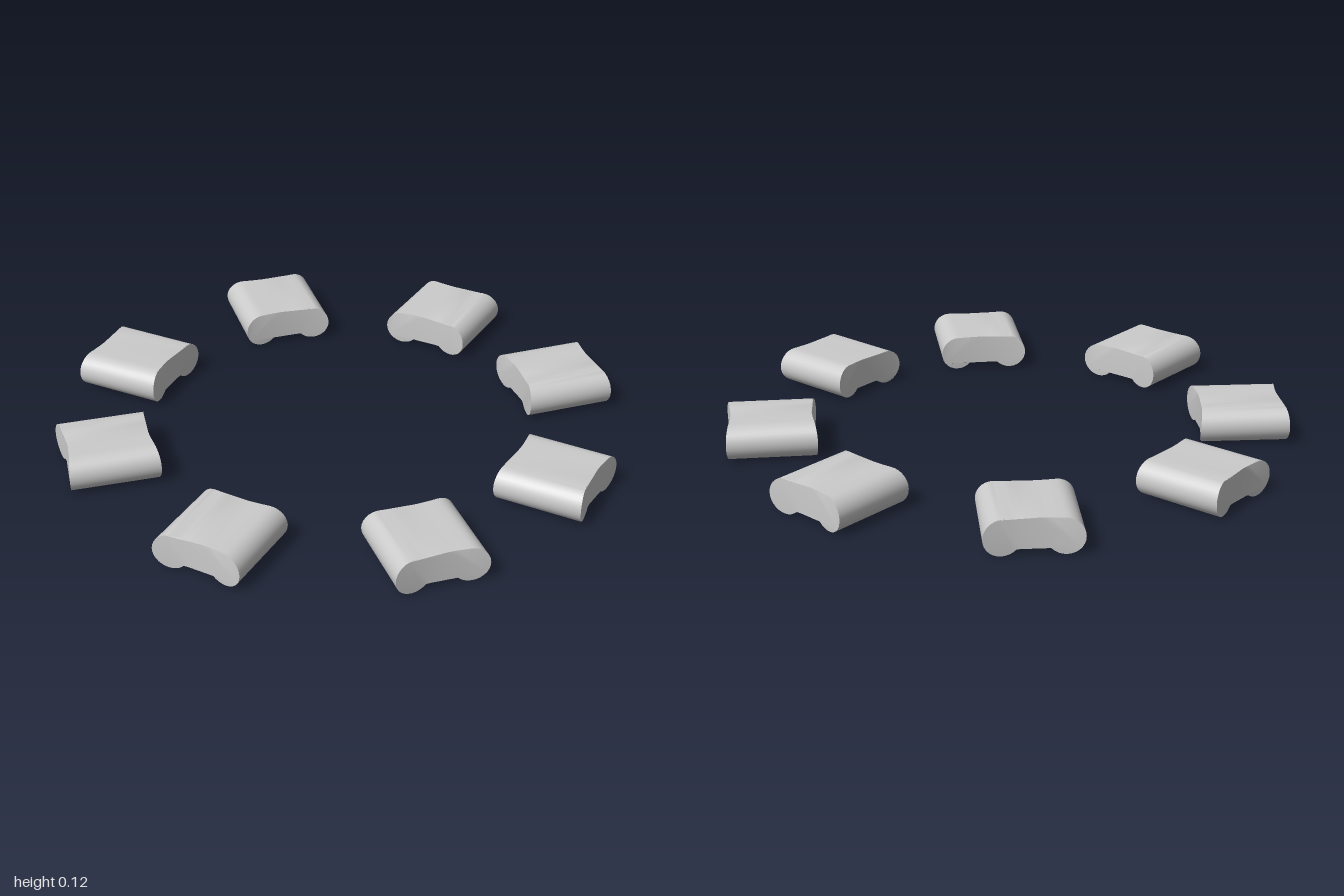
import * as THREE from 'three';
import { toCreasedNormals } from 'three/addons/utils/BufferGeometryUtils.js';

const HALF_WIDTH = 0.162, RADIUS = 0.0625, LENGTH = 0.315, SAG = 0.017;
const RING_RADIUS = 0.83;
// heading of each block around the ring, in degrees from +z
const HEADINGS = [13.3, 60.3, 102.7, 149.4, 191.7, 237.7, 284.2, 326.5];

// cross-section: flat top, rounded sides, two rounded feet and a raised web
function blockProfile() {
  const right = [];
  const cx = HALF_WIDTH - RADIUS;
  for (const x of [0.018, 0.036, 0.054, 0.076]) right.push([x, 2 * RADIUS]);
  const steps = 18, sweep = 227;
  for (let i = 0; i <= steps; i++) {
    const a = THREE.MathUtils.degToRad(90 - (sweep * i) / steps);
    right.push([cx + RADIUS * Math.cos(a), RADIUS + RADIUS * Math.sin(a)]);
  }
  const webY = right[right.length - 1][1];
  for (const x of [0.036, 0.018]) right.push([x, webY]);
  const left = right.map(([x, y]) => [-x, y]).reverse();
  const outline = [[0, 2 * RADIUS], ...right, [0, webY], ...left];
  return new THREE.Shape(outline.map(([x, y]) => new THREE.Vector2(x, y)));
}

// extruded block whose inner and outer ends are hollowed across the width
function blockGeometry() {
  const geo = new THREE.ExtrudeGeometry(blockProfile(), { depth: LENGTH, bevelEnabled: false });
  geo.translate(0, 0, -LENGTH / 2);
  const p = geo.attributes.position;
  for (let i = 0; i < p.count; i++) {
    const t = p.getX(i) / HALF_WIDTH, z = p.getZ(i);
    p.setZ(i, z - Math.sign(z) * SAG * (1 - t * t));
  }
  return toCreasedNormals(geo, 0.5);
}

export function createModel() {
  const group = new THREE.Group();
  group.name = 'blockRing';
  const material = new THREE.MeshStandardMaterial({ color: 0xcccccc });
  const geometry = blockGeometry();
  HEADINGS.forEach((deg, i) => {
    const a = THREE.MathUtils.degToRad(deg);
    const block = new THREE.Mesh(geometry, material);
    block.name = `block${i + 1}`;
    block.position.set(RING_RADIUS * Math.sin(a), 0, RING_RADIUS * Math.cos(a));
    block.rotation.y = a;
    group.add(block);
  });
  return group;
}
